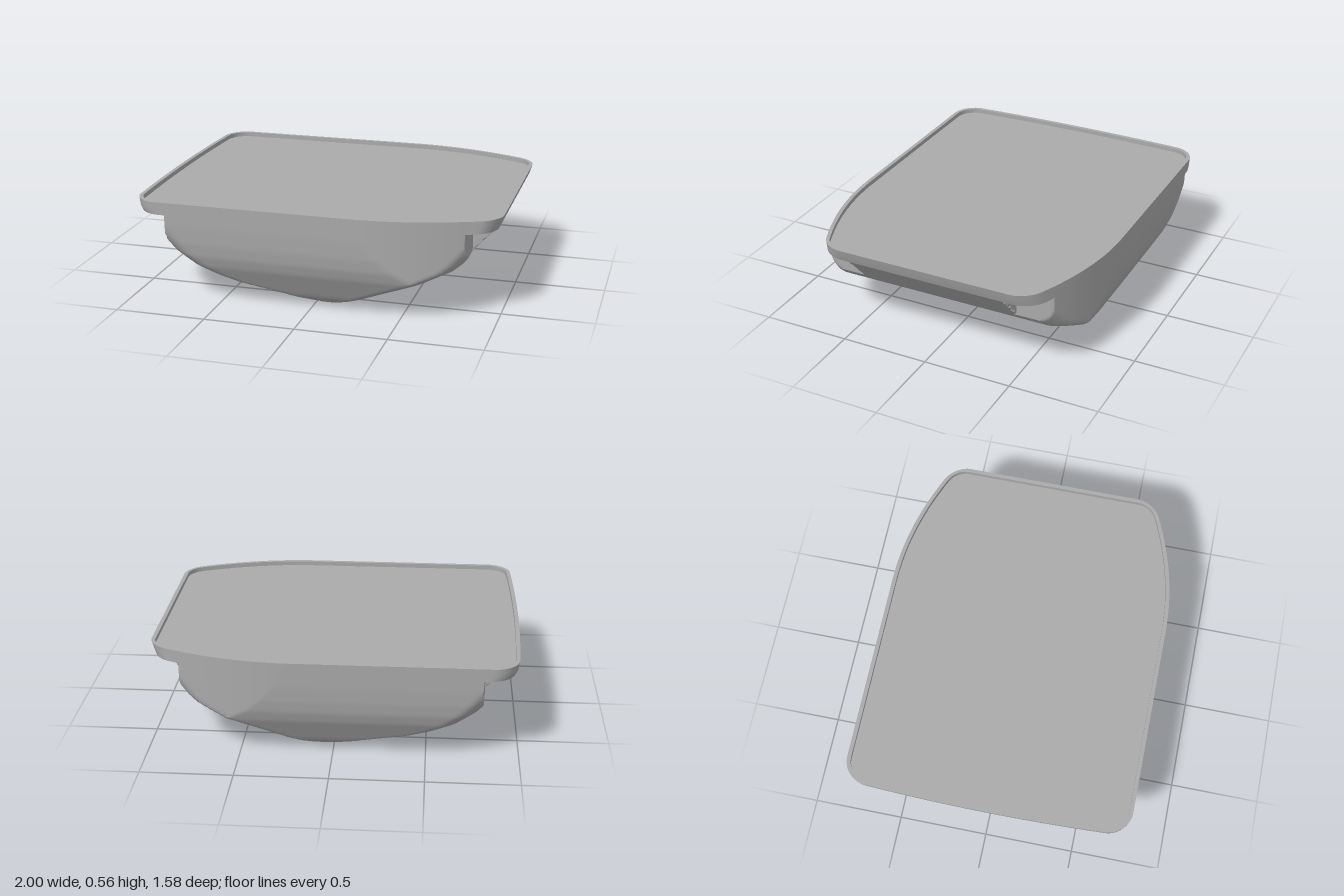
import * as THREE from 'three';
import { toCreasedNormals } from 'three/addons/utils/BufferGeometryUtils.js';

// Silhouette profiles as [height, extent]
const LEFT = [[0, 0.03], [0.004, 0], [0.02, -0.1], [0.04, -0.19], [0.065, -0.3], [0.105, -0.5],
  [0.14, -0.6], [0.19, -0.7], [0.27, -0.8], [0.37, -0.89], [0.485, -0.98], [0.51, -0.993], [0.555, -1]];
const RIGHT = [[0, 0.11], [0.004, 0.15], [0.01, 0.175], [0.02, 0.2], [0.265, 0.76], [0.295, 0.8],
  [0.485, 0.975], [0.51, 0.985], [0.555, 1]];
const WIDTH = [[0, 0.56], [0.01, 0.61], [0.035, 0.65], [0.06, 0.673], [0.2, 0.75], [0.26, 0.771],
  [0.33, 0.782], [0.42, 0.788], [0.555, 0.79]];

const CX = 0.07;                                   // axis of the radial sections
const NOTCH = { right: 0.83, left: -0.8, z: 0.46, top: 0.485 };
const TOP = 0.555, LID = 0.53, LIP = 0.022;

function at(table, y) {
  for (let i = 1; i < table.length; i++) {
    const [y0, a] = table[i - 1], [y1, b] = table[i];
    if (y <= y1) return a + (b - a) * (y - y0) / (y1 - y0);
  }
  return table[table.length - 1][1];
}

// Evenly spread directions plus the exact inner corners of the notches
const angles = Array.from({ length: 480 }, (_, i) => -Math.PI + (i + 0.5) * Math.PI / 240);
for (const x of [NOTCH.right, NOTCH.left])
  for (const s of [1, -1]) angles.push(Math.atan2(s * NOTCH.z, x - CX));
angles.sort((a, b) => a - b);

// Signed distance to the rounded plan outline at one height
function sectionField(y) {
  const xl = at(LEFT, y), xr = at(RIGHT, y), w = at(WIDTH, y);
  const limit = (xr - xl) * 0.45;
  return (x, z) => {
    const az = Math.abs(z), k = Math.max(0, x - 0.22);
    const r = Math.min(x < CX ? 0.13 : 0.09, limit);
    const bow = xr - xl > 0.5 ? 0.025 * (az / 0.79) ** 2 : 0;
    const dx = Math.max(x - xr, xl + bow - x) + r;
    const dz = az - Math.min(w, 0.79 - 0.327 * k * k) + r;
    return Math.hypot(Math.max(dx, 0), Math.max(dz, 0)) + Math.min(Math.max(dx, dz), 0) - r;
  };
}

// One closed ring of points, optionally inset or with the corner notches cut
function ring(y, { inset = 0, notched = false, level = y } = {}) {
  const field = sectionField(y);
  return angles.map((a) => {
    const c = Math.cos(a), s = Math.sin(a);
    let lo = 0, hi = 1.6;
    for (let i = 0; i < 26; i++) {
      const m = (lo + hi) / 2;
      if (field(CX + c * m, s * m) < -inset) lo = m; else hi = m;
    }
    if (notched) {
      const wall = ((c > 0 ? NOTCH.right : NOTCH.left) - CX) / c;
      lo = Math.min(lo, Math.max(wall, NOTCH.z / Math.abs(s)));
    }
    return new THREE.Vector3(CX + c * lo, level, s * lo);
  });
}

const centre = (y) => angles.map(() => new THREE.Vector3(CX, y, 0));

// Skin consecutive rings, leaving out empty triangles
function loft(rings, crease = 0.6) {
  const pos = [], n = angles.length, t = new THREE.Triangle();
  const tri = (a, b, c) => {
    if (t.set(a, b, c).getArea() > 1e-9) pos.push(...a.toArray(), ...b.toArray(), ...c.toArray());
  };
  for (let j = 1; j < rings.length; j++) {
    const lower = rings[j - 1], upper = rings[j];
    for (let i = 0; i < n; i++) {
      const k = (i + 1) % n;
      tri(lower[i], upper[i], lower[k]);
      tri(lower[k], upper[i], upper[k]);
    }
  }
  const g = new THREE.BufferGeometry();
  g.setAttribute('position', new THREE.Float32BufferAttribute(pos, 3));
  return toCreasedNormals(g, crease);
}

export function createModel() {
  const group = new THREE.Group();
  group.name = 'basin';
  const grey = new THREE.MeshStandardMaterial({ color: 0xaaaaaa });
  grey.name = 'grey';
  const add = (name, rings) => {
    const mesh = new THREE.Mesh(loft(rings), grey);
    mesh.name = name;
    group.add(mesh);
  };

  // Body: bottom cap, notched side walls, notch ceilings
  const body = [centre(0)];
  for (let i = 0; i <= 44; i++) body.push(ring(NOTCH.top * (i / 44) ** 1.7, { notched: true }));
  body.push(ring(NOTCH.top));
  add('body', body);

  // Rim: outer band, flat lip and inner wall
  const rim = [NOTCH.top, 0.497, 0.51, 0.53, TOP].map((y) => ring(y));
  rim.push(ring(TOP, { inset: LIP }), ring(TOP, { inset: LIP, level: LID }));
  add('rim', rim);

  // Recessed flat lid
  add('lid', [ring(TOP, { inset: LIP, level: LID }), centre(LID)]);
  return group;
}
